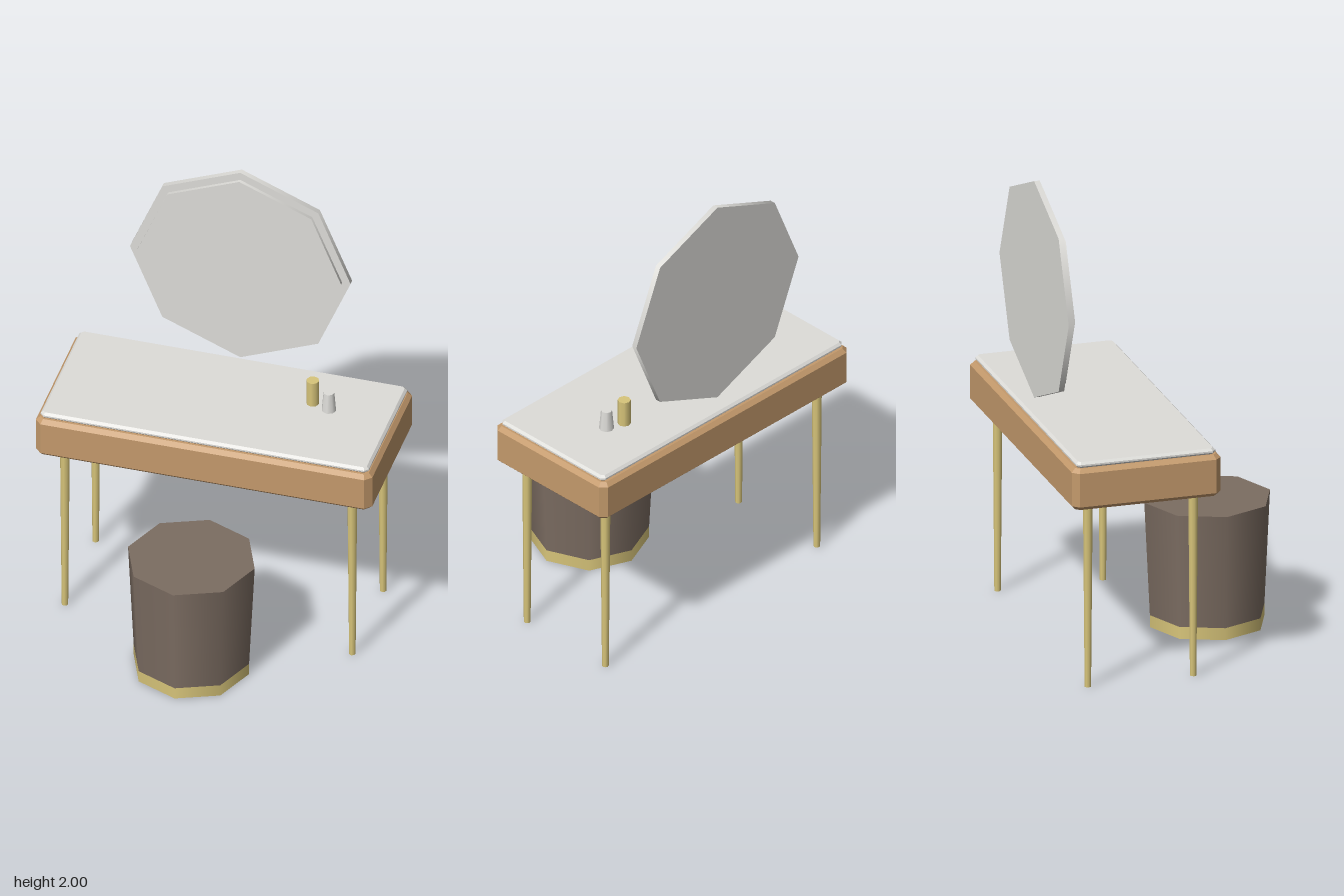
import * as THREE from 'three';

const mat = (name, color) => {
  const m = new THREE.MeshStandardMaterial({ color });
  m.name = name;
  return m;
};

export function createModel() {
  const wood = mat('wood', 0xc49a6c);
  const marble = mat('paleMarble', 0xdeddd9);
  const gold = mat('brass', 0xd8c57a);
  const fabric = mat('brownFabric', 0x7c6d62);

  const model = new THREE.Group();
  model.name = 'vanityTableSet';

  const add = (name, geometry, material, x, y, z) => {
    const mesh = new THREE.Mesh(geometry, material);
    mesh.name = name;
    mesh.position.set(x, y, z);
    model.add(mesh);
    return mesh;
  };

  // Eight-sided tapered column standing on y
  const column = (name, rTop, rBottom, h, material, x, y, z) =>
    add(name, new THREE.CylinderGeometry(rTop, rBottom, h, 8), material, x, y + h / 2, z);

  // Slab with all edges chamfered by c, lying on y
  const slab = (name, w, h, d, c, material, y, z) => {
    const a = w / 2 - c, b = d / 2 - c;
    const shape = new THREE.Shape([
      [-a + c, -b], [a - c, -b], [a, -b + c], [a, b - c],
      [a - c, b], [-a + c, b], [-a, b - c], [-a, -b + c],
    ].map(([px, py]) => new THREE.Vector2(px, py)));
    const g = new THREE.ExtrudeGeometry(shape, {
      depth: h - 2 * c, bevelThickness: c, bevelSize: c, bevelSegments: 1,
    });
    g.translate(0, 0, c);
    g.rotateX(-Math.PI / 2);
    return add(name, g, material, 0, y, z);
  };

  // Table
  const tableZ = -0.217;
  slab('tableBody', 1.44, 0.18, 0.642, 0.017, wood, 0.806, tableZ);
  slab('tableTop', 1.404, 0.027, 0.6, 0.01, marble, 0.984, tableZ);
  for (const sx of [-1, 1]) {
    for (const sz of [-1, 1]) {
      const name = (sz > 0 ? 'front' : 'back') + (sx > 0 ? 'Left' : 'Right') + 'Leg';
      column(name, 0.021, 0.014, 0.81, gold, sx * 0.615, 0, tableZ + sz * 0.227);
    }
  }

  // Mirror: back plate and slightly smaller glass in front
  const disc = (name, r, z0, z1) => {
    const g = new THREE.CylinderGeometry(r, r, z1 - z0, 8);
    g.rotateX(Math.PI / 2);
    add(name, g, marble, 0, 1.528, (z0 + z1) / 2);
  };
  disc('mirrorFrame', 0.472, -0.481, -0.457);
  disc('mirrorGlass', 0.436, -0.457, -0.442);

  // Stool
  column('stoolBase', 0.247, 0.247, 0.052, gold, 0, 0, 0.265);
  column('stoolSeat', 0.271, 0.247, 0.493, fabric, 0, 0.052, 0.265);

  // Bottles on the table
  column('tallBottle', 0.027, 0.027, 0.117, gold, 0.357, 1.01, -0.296);
  column('smallBottle', 0.023, 0.031, 0.09, marble, 0.434, 1.01, -0.27);

  return model;
}
